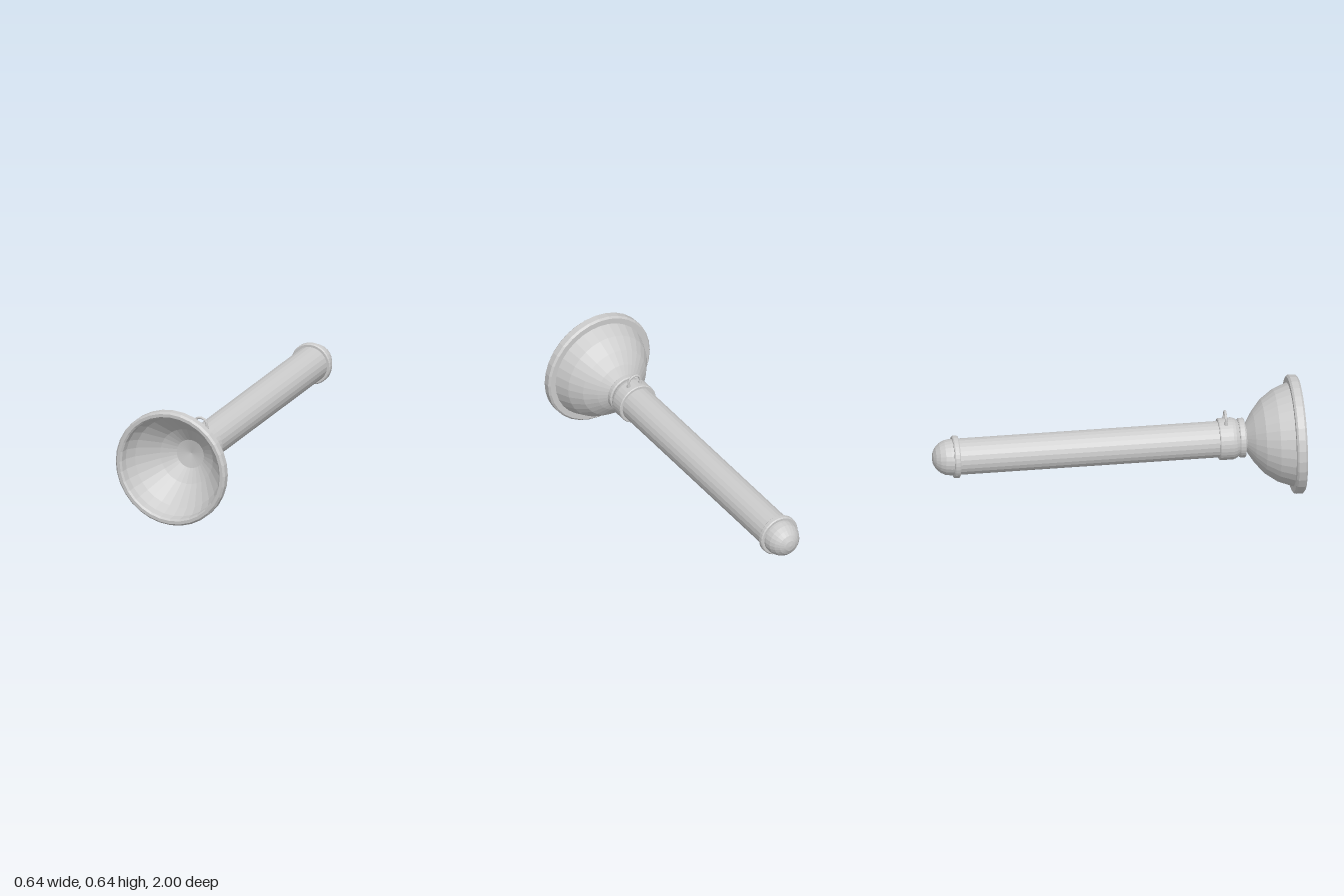
import * as THREE from 'three';

const AXIS_Y = 0.323;

export function createModel() {
  const group = new THREE.Group();
  const material = new THREE.MeshStandardMaterial({ color: 0xcccccc, flatShading: true });

  const add = (name, geometry) => {
    const mesh = new THREE.Mesh(geometry, material);
    mesh.name = name;
    group.add(mesh);
    return mesh;
  };

  // Turned part around the long z axis; profile is [radius, z] with z rising on the outside
  const turned = (name, profile, sides = 32) => {
    const points = profile.map(([r, z]) => new THREE.Vector2(r, z));
    const geometry = new THREE.LatheGeometry(points, sides);
    geometry.rotateX(Math.PI / 2);
    add(name, geometry).position.y = AXIS_Y;
  };

  // Handle shaft
  turned('handle', [[0, -0.88], [0.098, -0.88], [0.098, 0.57], [0, 0.57]], 24);

  // Rounded end cap
  const dome = [];
  for (let i = 0; i <= 5; i++) {
    const a = (i / 5) * Math.PI / 2;
    dome.push([0.098 * Math.sin(a), -0.902 - 0.098 * Math.cos(a)]);
  }
  turned('endCap', [...dome, [0.098, -0.87]], 24);
  turned('endCapRing', [
    [0.09, -0.888], [0.11, -0.888], [0.115, -0.882],
    [0.115, -0.861], [0.11, -0.855], [0.09, -0.855],
  ]);

  // Socket joining the handle and the cup
  turned('socket', [
    [0.09, 0.553], [0.11, 0.553], [0.114, 0.558], [0.114, 0.627],
    [0.109, 0.643], [0.095, 0.663], [0, 0.663],
  ]);
  turned('neckRing', [
    [0, 0.662], [0.102, 0.662], [0.107, 0.667],
    [0.107, 0.691], [0.102, 0.696], [0, 0.696],
  ]);

  // Hollow cup: outer wall, rolled rim, then the inside back to the centre
  turned('cup', [
    [0.07, 0.69], [0.075, 0.702], [0.14, 0.743], [0.2, 0.793], [0.25, 0.863], [0.281, 0.942],
    [0.312, 0.942], [0.322, 0.952], [0.322, 0.988], [0.312, 0.999],
    [0.295, 0.999], [0.286, 0.99], [0.283, 0.945],
    [0.255, 0.885], [0.155, 0.776], [0.08, 0.727], [0, 0.712],
  ]);

  // Hanging loop on top of the socket
  const loop = new THREE.CatmullRomCurve3([
    [-0.036, 0.425], [-0.036, 0.455], [-0.025, 0.477], [0, 0.486],
    [0.025, 0.477], [0.036, 0.455], [0.036, 0.425],
  ].map(([x, y]) => new THREE.Vector3(x, y, 0.592)));
  add('hangingLoop', new THREE.TubeGeometry(loop, 16, 0.007, 8));
  for (const side of [-1, 1]) {
    const foot = add('loopFoot', new THREE.CylinderGeometry(0.01, 0.012, 0.022, 10));
    foot.position.set(side * 0.036, 0.435, 0.592);
  }

  return group;
}
